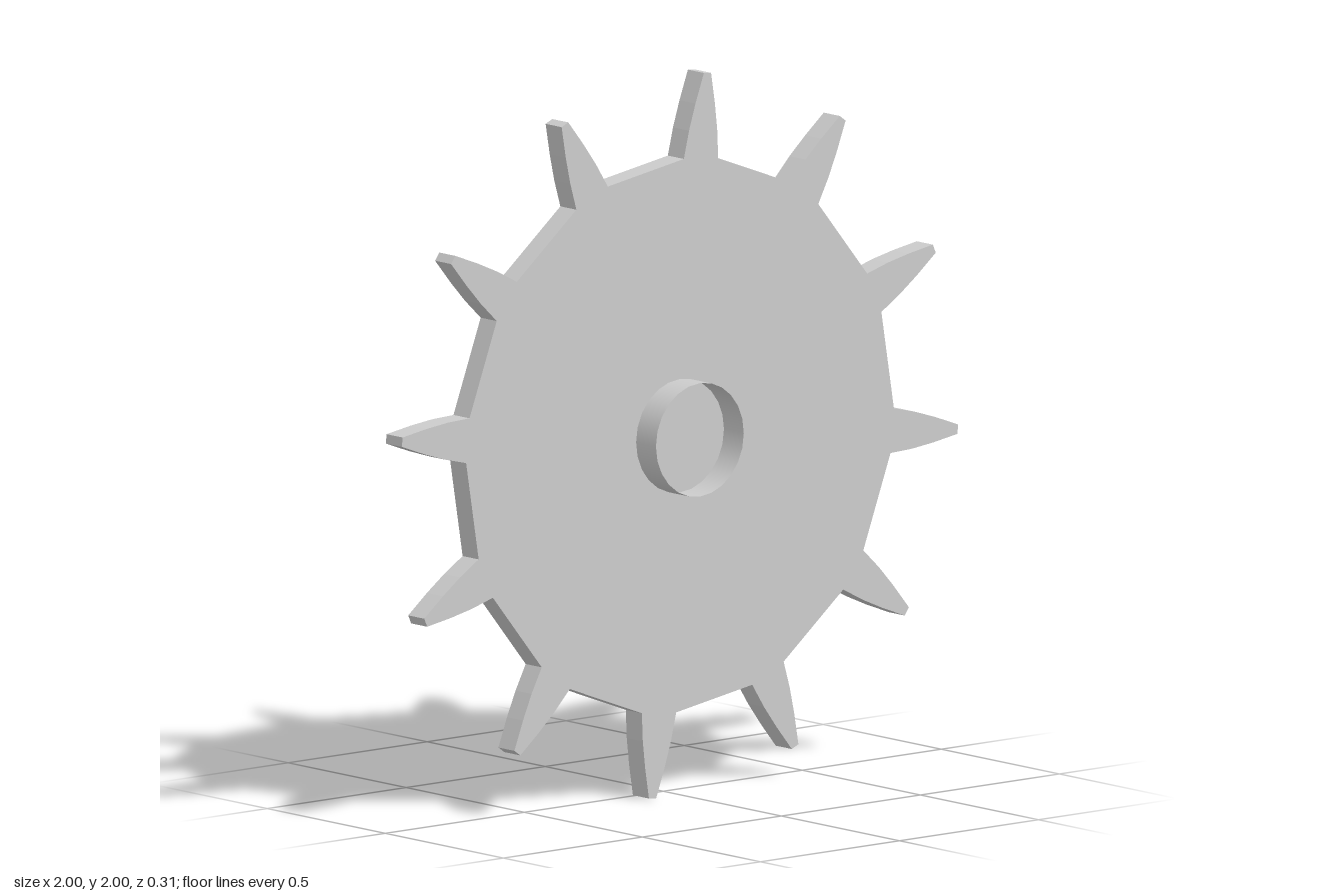
import * as THREE from 'three';

const TEETH = 12;
const TILT = THREE.MathUtils.degToRad(84.35); // direction of the first tooth

// Toothed outline: one tooth profile (radius, offset) repeated around the wheel
function wheelShape() {
  const tooth = [
    [0.767, -0.062], [0.845, -0.051], [0.92, -0.035], [1.004, -0.013],
    [1.004, 0.013], [0.92, 0.035], [0.845, 0.051], [0.767, 0.062],
  ];
  const points = [];
  for (let i = 0; i < TEETH; i++) {
    const a = TILT + (i / TEETH) * Math.PI * 2;
    for (const [r, o] of tooth) {
      points.push(new THREE.Vector2(
        r * Math.cos(a) - o * Math.sin(a),
        r * Math.sin(a) + o * Math.cos(a),
      ));
    }
  }
  return new THREE.Shape(points);
}

export function createModel() {
  const model = new THREE.Group();
  model.name = 'sprocketWheel';
  const grey = new THREE.MeshStandardMaterial({ color: 0xcccccc, flatShading: true });
  const thin = new THREE.MeshStandardMaterial({ color: 0xcccccc, side: THREE.DoubleSide });

  const add = (name, geometry, material, z, parent = model) => {
    const mesh = new THREE.Mesh(geometry, material);
    mesh.name = name;
    mesh.position.z = z;
    parent.add(mesh);
    return mesh;
  };

  // Flat toothed plate
  add('toothedPlate',
    new THREE.ExtrudeGeometry(wheelShape(), { depth: 0.068, bevelEnabled: false }),
    grey, 0.003);

  // Short open hub tube on the front
  const hub = new THREE.CylinderGeometry(0.158, 0.158, 0.085, 24, 1, true).rotateX(Math.PI / 2);
  add('hubTube', hub, thin, 0.1125);

  // Two stepped frustums on the back, tilted a hair against the plate
  const back = new THREE.Group();
  back.name = 'backBoss';
  back.rotation.y = -0.006;
  model.add(back);
  const frustum = (name, rBase, rTop, zBase, zTop, sides) => {
    const g = new THREE.CylinderGeometry(rTop, rBase, zBase - zTop, sides).rotateX(-Math.PI / 2);
    add(name, g, grey, (zBase + zTop) / 2, back);
  };
  frustum('backStep', 0.622, 0.59, 0.008, -0.092, 20);
  frustum('backCap', 0.43, 0.32, -0.09, -0.155, 16);

  model.position.y = 1;
  const root = new THREE.Group();
  root.name = 'wheel';
  root.add(model);
  return root;
}
